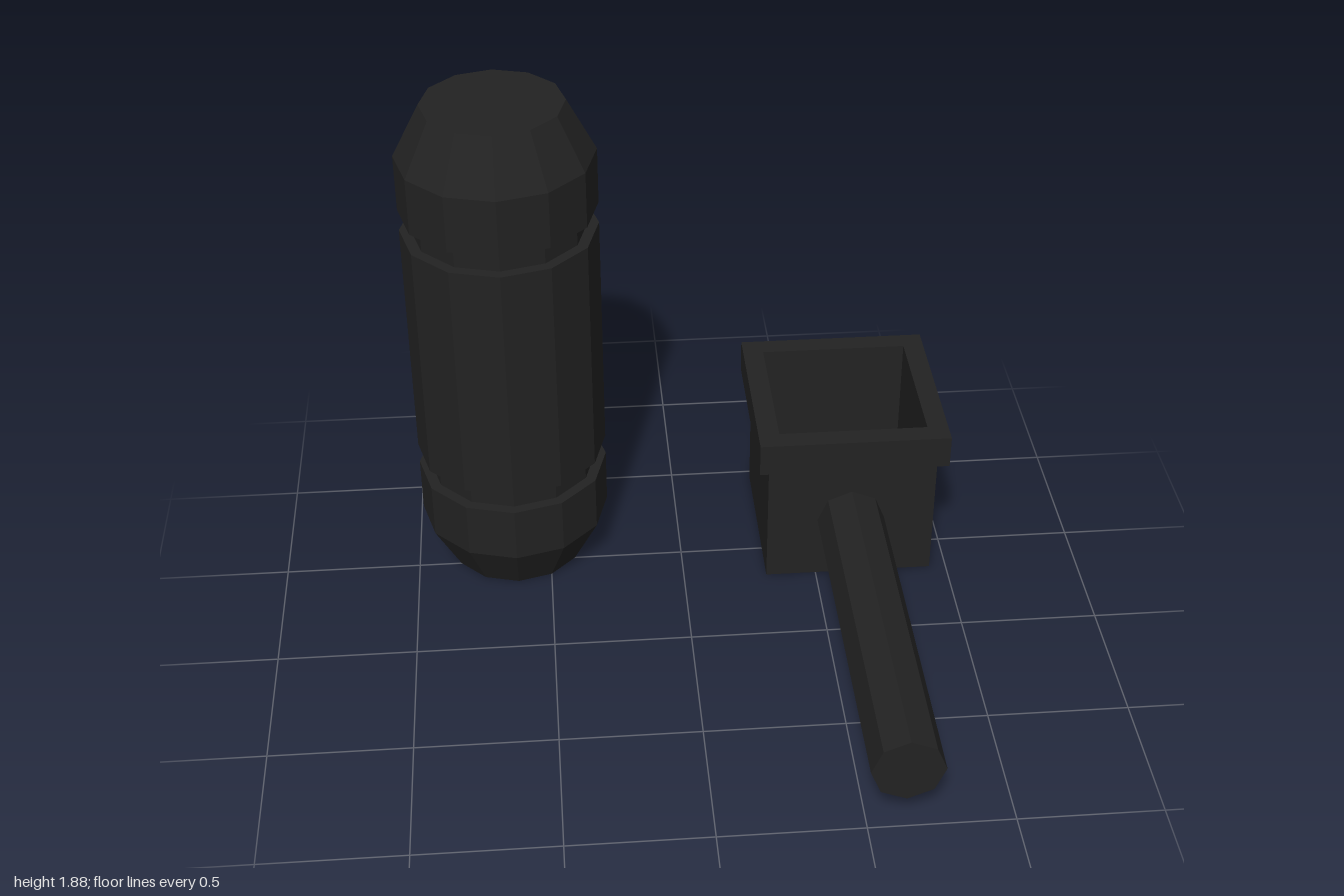
import * as THREE from 'three';

const SIDES = 12, SLOPE = Math.tan(Math.PI / 12);
const SLOT = 0.1; // half width of the window slot

// Faceted normals
function facet(geo) {
  const g = geo.index ? geo.toNonIndexed() : geo;
  g.computeVertexNormals();
  return g;
}

const lathe = (pts) =>
  facet(new THREE.LatheGeometry(pts.map(([r, y]) => new THREE.Vector2(r, y)), SIDES));

// Extrudes a plan shape (x, -z) upward from y0 to y1
function prism(shape, y0, y1) {
  const g = new THREE.ExtrudeGeometry(shape, { depth: y1 - y0, bevelEnabled: false });
  return facet(g.rotateX(-Math.PI / 2).translate(0, y0, 0));
}

// Square ring in plan
function squareRing(outer, inner) {
  const square = (h) => [[-h, -h], [h, -h], [h, h], [-h, h]].map(([x, y]) => new THREE.Vector2(x, y));
  const shape = new THREE.Shape(square(outer));
  shape.holes.push(new THREE.Path(square(inner).reverse()));
  return shape;
}

// Point on the rear facets of the polygon with radius r
const rear = (r, x) => new THREE.Vector2(x, r - Math.abs(x) * SLOPE);

// Ring of facets left open at the rear slot
function openRing(outer, inner) {
  const side = (r) => {
    const pts = [rear(r, SLOT)];
    for (let k = 1; k < SIDES; k++) {
      const a = (k / SIDES) * Math.PI * 2;
      pts.push(new THREE.Vector2(r * Math.sin(a), r * Math.cos(a)));
    }
    pts.push(rear(r, -SLOT));
    return pts;
  };
  return new THREE.Shape([...side(outer), ...side(inner).reverse()]);
}

export function createModel() {
  const dark = new THREE.MeshStandardMaterial({ color: 0x222222 });
  dark.name = 'charcoal';
  const blue = new THREE.MeshStandardMaterial({ color: 0x55a9d6 });
  blue.name = 'windowBlue';

  const model = new THREE.Group();
  model.name = 'canisterAndScoop';
  const add = (parent, name, geo, mat = dark) => {
    const m = new THREE.Mesh(geo, mat);
    m.name = name;
    parent.add(m);
    return m;
  };

  // Canister: core, two bevelled caps, slotted sleeve, window
  const canister = new THREE.Group();
  canister.name = 'canister';
  canister.position.set(-0.625, 0, -0.625);
  model.add(canister);

  const R = 0.35, C = 0.31, H = 1.88;
  add(canister, 'core', lathe([[C, 0.39], [C, 1.49]]));
  const cap = [[0, 0], [0.25, 0], [R, 0.19], [R, 0.4], [C - 0.01, 0.4]];
  add(canister, 'bottomCap', lathe(cap));
  add(canister, 'topCap', lathe(cap.map(([r, y]) => [r, H - y]).reverse()));
  for (const [name, y0, y1] of [['lowerBand', 0.48, 0.56], ['upperBand', 1.32, 1.4]]) {
    add(canister, name, lathe([[C - 0.01, y0], [R, y0], [R, y1], [C - 0.01, y1]]));
  }
  add(canister, 'sleeve', prism(openRing(R, C - 0.005), 0.56, 1.32));
  const pane = new THREE.Shape([
    ...[-SLOT, 0, SLOT].map((x) => rear(C + 0.003, x)),
    ...[SLOT, 0, -SLOT].map((x) => rear(C - 0.004, x)),
  ]);
  add(canister, 'window', prism(pane, 0.56, 1.32), blue);

  // Scoop: open square cup with a thick rim and an octagonal handle
  const scoop = new THREE.Group();
  scoop.name = 'scoop';
  scoop.position.set(0.625, 0, -0.65);
  model.add(scoop);

  add(scoop, 'cupWalls', prism(squareRing(0.3125, 0.273), 0, 0.5));
  add(scoop, 'cupFloor', new THREE.BoxGeometry(0.56, 0.05, 0.56).translate(0, 0.0255, 0));
  add(scoop, 'cupRim', prism(squareRing(0.35, 0.273), 0.5, 0.625));
  const handle = new THREE.CylinderGeometry(0.125, 0.125, 1.35, 8).rotateX(Math.PI / 2);
  add(scoop, 'handle', facet(handle)).position.set(0, 0.25, 0.975);

  return model;
}
